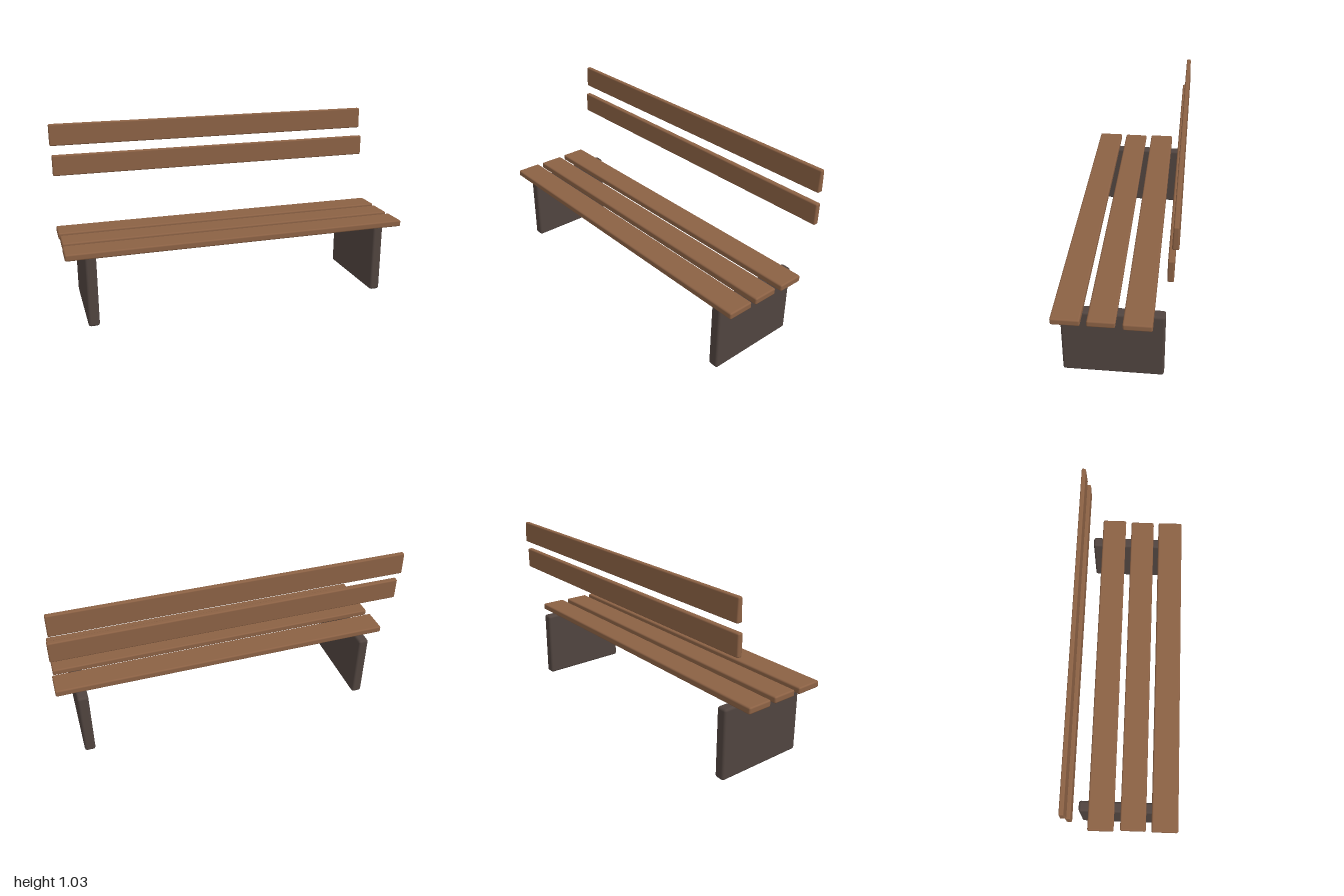
import * as THREE from 'three';
import { RoundedBoxGeometry } from 'three/addons/geometries/RoundedBoxGeometry.js';

const wood = new THREE.MeshStandardMaterial({ color: 0x8b6144 });
wood.name = 'brown wood';
const darkPanel = new THREE.MeshStandardMaterial({ color: 0x50443f });
darkPanel.name = 'dark brown panel';

// Softly bevelled box given by its limits on each axis
function board(name, material, [x0, x1], [y0, y1], [z0, z1], radius) {
  const geometry = new RoundedBoxGeometry(x1 - x0, y1 - y0, z1 - z0, 2, radius);
  const mesh = new THREE.Mesh(geometry, material);
  mesh.position.set((x0 + x1) / 2, (y0 + y1) / 2, (z0 + z1) / 2);
  mesh.name = name;
  return mesh;
}

// Moves each vertex by a rule, then refreshes the normals' directions
function taper(mesh, rule) {
  const p = mesh.geometry.attributes.position;
  const v = new THREE.Vector3();
  for (let i = 0; i < p.count; i++) {
    rule(v.fromBufferAttribute(p, i));
    p.setXYZ(i, v.x, v.y, v.z);
  }
  return mesh;
}

export function createModel() {
  const bench = new THREE.Group();
  bench.name = 'bench';

  // Two solid end supports
  for (const [side, name] of [[-1, 'rightSupport'], [1, 'leftSupport']]) {
    const x = side * 0.86;
    bench.add(board(name, darkPanel, [x - 0.031, x + 0.031], [0, 0.409], [-0.258, 0.284], 0.014));
  }

  // Three seat slats, each cut slightly unevenly
  const seat = new THREE.Group();
  seat.name = 'seat';
  const seatSlats = [
    ['frontSeatSlat', [-0.996, 0.993], [0.163, 0.314], 0.02],
    ['middleSeatSlat', [-0.994, 0.992], [-0.014, 0.131], -0.06],
    ['rearSeatSlat', [-1, 1], [-0.2, -0.051], 0.05],
  ];
  for (const [name, x, z, lean] of seatSlats) {
    const slat = board(name, wood, x, [0.408, 0.446], z, 0.009);
    seat.add(taper(slat, (v) => { v.z += v.y * lean; }));
  }
  bench.add(seat);

  // Two floating backrest slats
  const backrest = new THREE.Group();
  backrest.name = 'backrest';
  const lower = board('lowerBackSlat', wood, [-0.993, 1], [0.729, 0.852], [-0.293, -0.262], 0.008);
  const upper = board('upperBackSlat', wood, [-1, 0.987], [0.906, 1.033], [-0.312, -0.277], 0.008);
  // The upper slat thins towards its top edge
  taper(upper, (v) => { v.z *= 0.84 - v.y * 2.2; });
  backrest.add(lower, upper);
  bench.add(backrest);

  return bench;
}
